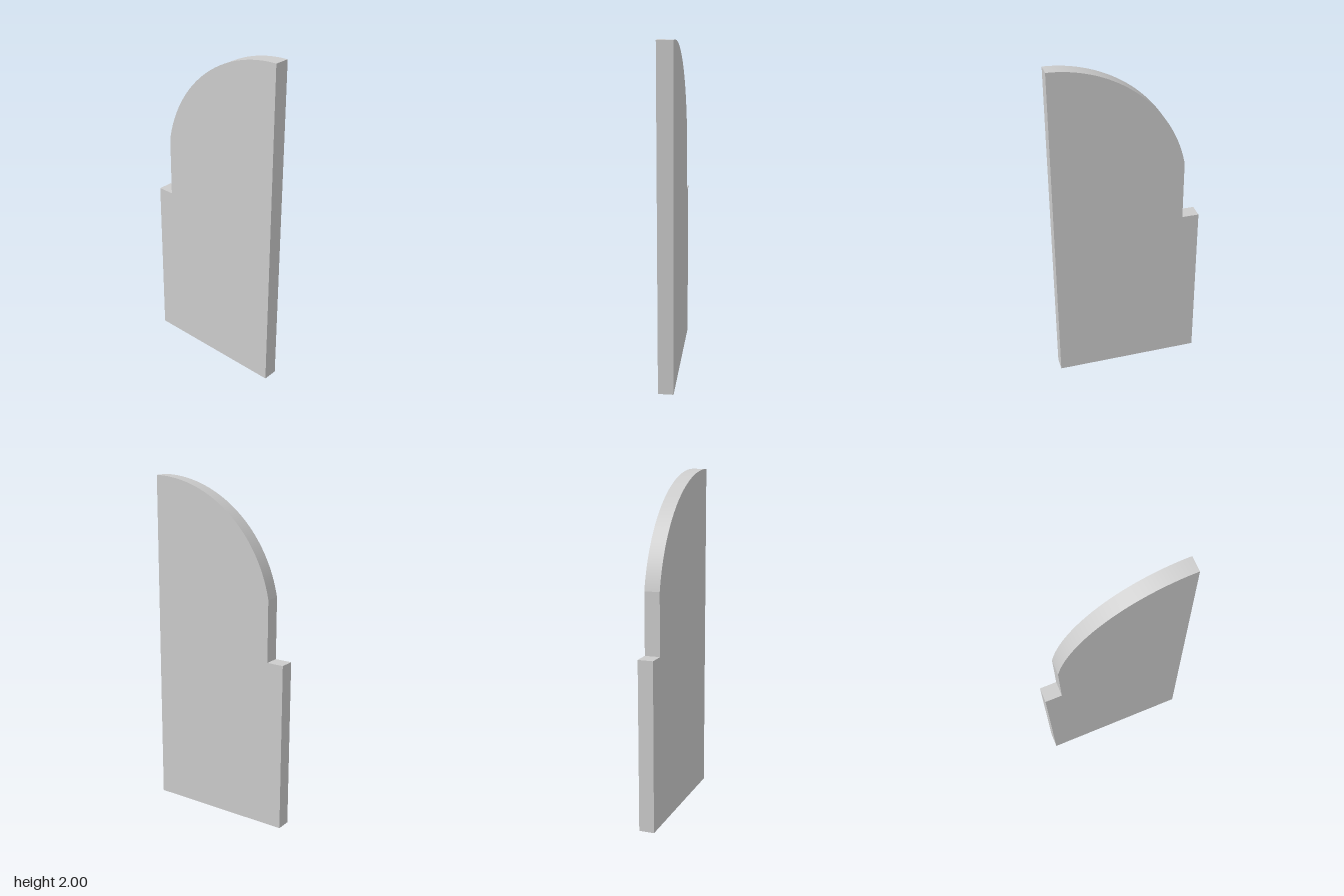
import * as THREE from 'three';
import { toCreasedNormals } from 'three/addons/utils/BufferGeometryUtils.js';

export function createModel() {
  const group = new THREE.Group();
  group.name = 'archedPanel';

  const half = 0.4385;     // half depth along z
  const thickness = 0.09;
  const notch = 0.337;     // back edge above the step
  const radius = 0.79;     // curved top, centred on the front edge
  const centreY = 2 - radius;
  const start = Math.acos((notch + half) / radius);

  // Side outline: horizontal axis runs from front to back
  const outline = new THREE.Shape();
  outline.moveTo(-half, 0);
  outline.lineTo(half, 0);
  outline.lineTo(half, 1);
  outline.lineTo(notch, 1);
  outline.absarc(-half, centreY, radius, start, Math.PI / 2, false);
  outline.closePath();

  const extruded = new THREE.ExtrudeGeometry(outline, {
    depth: thickness, bevelEnabled: false, curveSegments: 32,
  });
  extruded.translate(0, 0, -thickness / 2);
  extruded.rotateY(Math.PI / 2);

  // Smooth curve, sharp corners
  const panel = new THREE.Mesh(
    toCreasedNormals(extruded, 0.12),
    new THREE.MeshStandardMaterial({ color: 0xcccccc }),
  );
  panel.name = 'panel';
  group.add(panel);
  return group;
}
